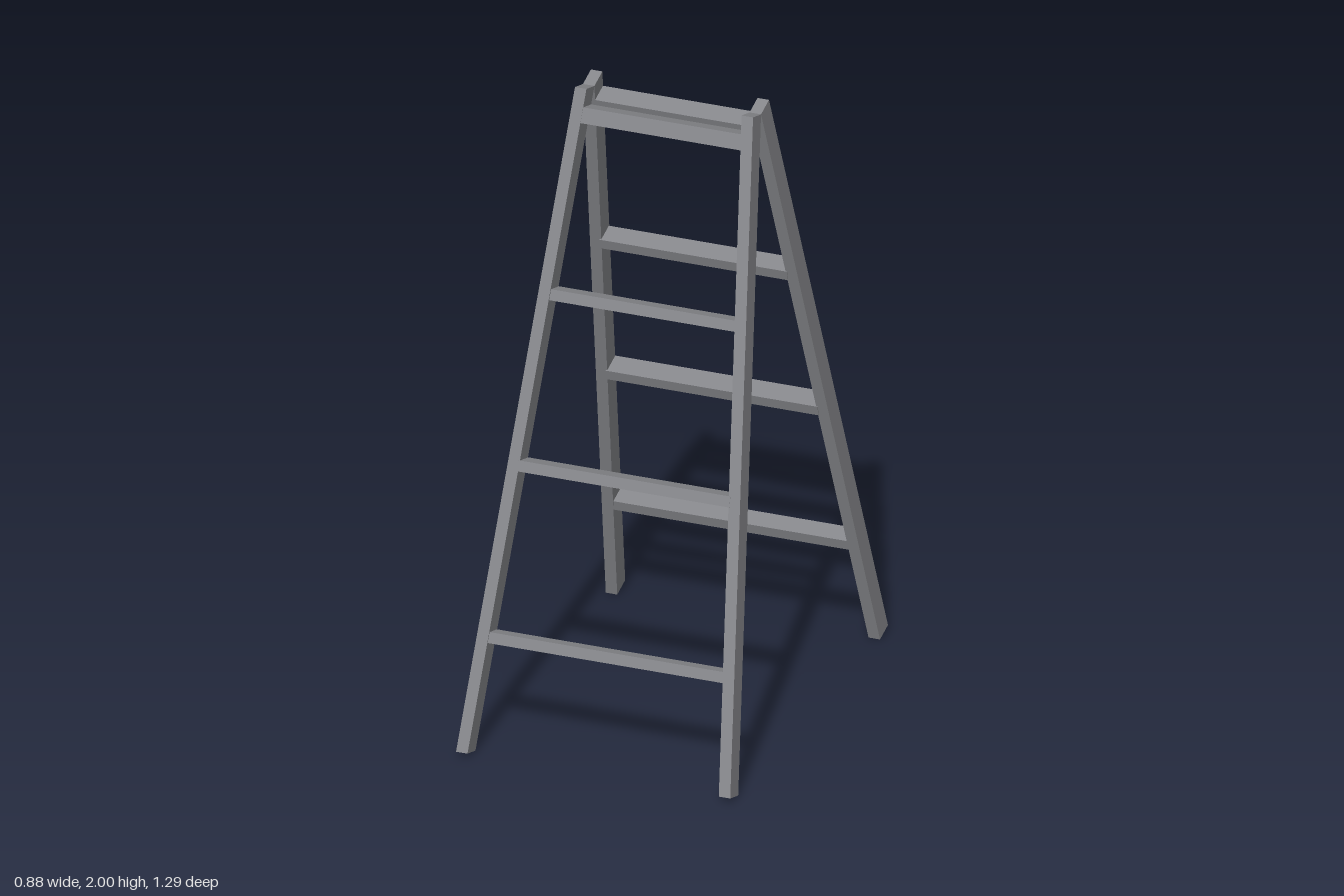
import * as THREE from 'three';

const SPREAD = 0.58;            // distance of a foot's inner edge from the centre
const RISE = 1.98;              // height where the two halves meet
const TILT = Math.atan2(SPREAD, RISE);
const LENGTH = Math.hypot(SPREAD, RISE);
const RAIL_W = 0.037, RAIL_D = 0.068;
const INNER_TOP = 0.25, INNER_BOTTOM = 0.405;

// inner edge of a rail at distance s along it, measured from the foot
const innerX = (s) => THREE.MathUtils.lerp(INNER_BOTTOM, INNER_TOP, s / LENGTH);

// start along the rail, thickness, depth and inner edge of each rung
const RUNGS = [
  { s: 0.343, t: 0.034, d: 0.063, z: 0.002 },
  { s: 0.876, t: 0.034, d: 0.072, z: -0.003 },
  { s: 1.407, t: 0.034, d: 0.067, z: -0.003 },
  { s: 1.957, t: 0.049, d: 0.067, z: 0 },
];

// box whose sides lean inwards with the rails
function makeRail(side, material) {
  const geo = new THREE.BoxGeometry(RAIL_W, LENGTH, RAIL_D);
  geo.translate(0, LENGTH / 2, RAIL_D / 2);
  const p = geo.attributes.position;
  for (let i = 0; i < p.count; i++) {
    p.setX(i, p.getX(i) + side * (innerX(p.getY(i)) + RAIL_W / 2));
  }
  geo.computeVertexNormals();
  const rail = new THREE.Mesh(geo, material);
  rail.name = side > 0 ? 'leftRail' : 'rightRail';
  return rail;
}

// one ladder: two converging rails and four rungs, leaning to the centre
function makeLadder(name, material) {
  const ladder = new THREE.Group();
  ladder.name = name;
  for (const side of [-1, 1]) ladder.add(makeRail(side, material));
  RUNGS.forEach(({ s, t, d, z }, i) => {
    const width = 2 * (innerX(s + t / 2) + 0.004);
    const rung = new THREE.Mesh(new THREE.BoxGeometry(width, t, d), material);
    rung.position.set(0, s + t / 2, z + d / 2);
    rung.name = `rung${i + 1}`;
    ladder.add(rung);
  });
  ladder.rotation.x = -TILT;
  ladder.position.z = SPREAD;
  return ladder;
}

export function createModel() {
  const grey = new THREE.MeshStandardMaterial({ color: 0x86878b });
  grey.name = 'grey';
  const model = new THREE.Group();
  model.name = 'stepladder';
  model.add(makeLadder('frontLadder', grey));

  // the back half is the front half turned around
  const back = new THREE.Group();
  back.name = 'backHalf';
  back.add(makeLadder('backLadder', grey));
  back.rotation.y = Math.PI;
  model.add(back);
  return model;
}
